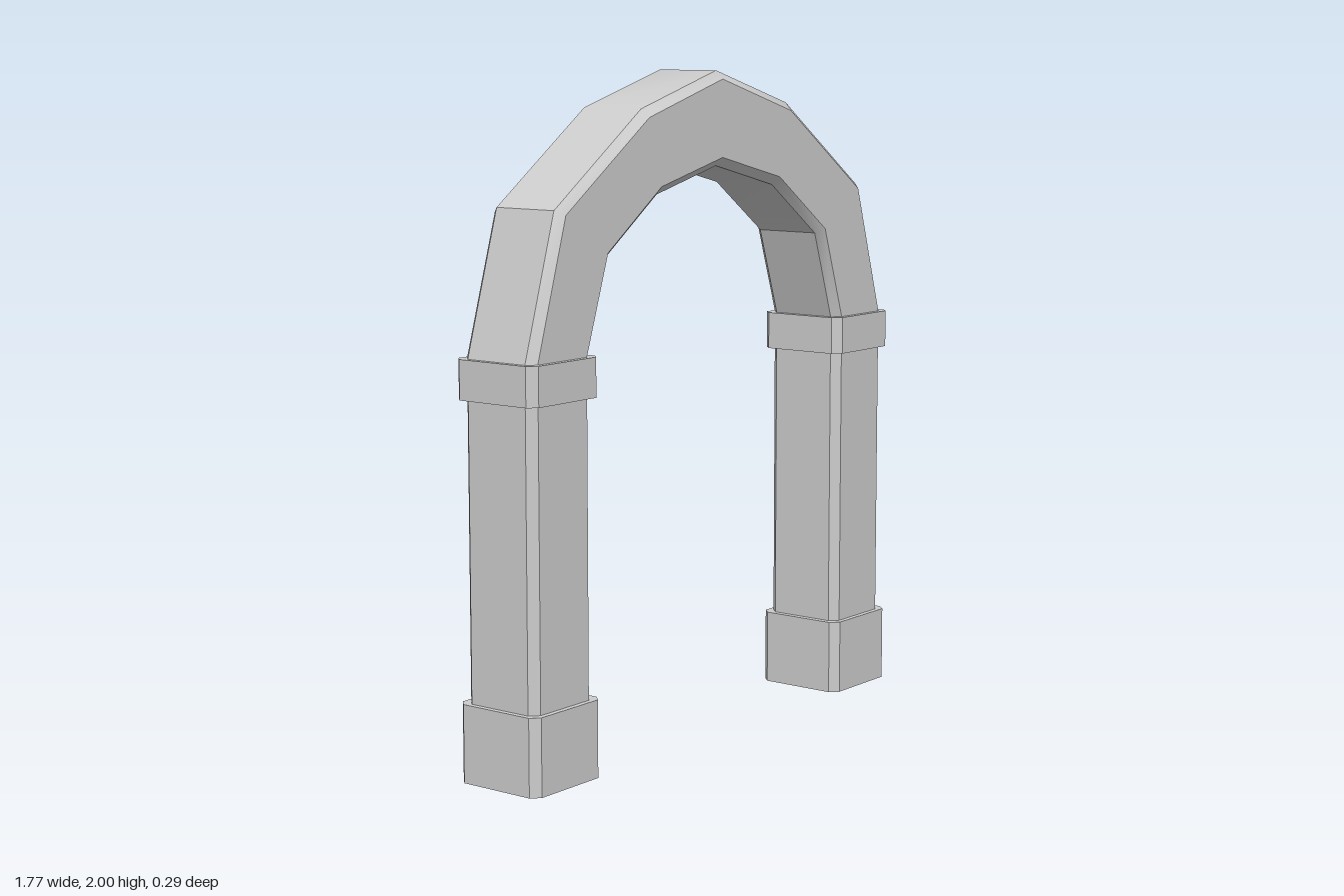
import * as THREE from 'three';
import { toCreasedNormals } from 'three/addons/utils/BufferGeometryUtils.js';

const stone = new THREE.MeshStandardMaterial({ color: 0xcccccc, side: THREE.DoubleSide });
const CHAMFER = 0.025;

// Chamfered rectangular section running from an outer to an inner point
function section(ox, oy, ix, iy, depth) {
  const o = new THREE.Vector3(ox, oy, 0), i = new THREE.Vector3(ix, iy, 0);
  const t = CHAMFER / o.distanceTo(i), d = depth - CHAMFER;
  return [[0, d], [0, -d], [t, -depth], [1 - t, -depth], [1, -d], [1, d], [1 - t, depth], [t, depth]]
    .map(([f, z]) => o.clone().lerp(i, f).setZ(z));
}

// Skin over successive sections, open at both ends
function loft(name, sections) {
  const pts = [];
  for (let s = 0; s < sections.length - 1; s++) {
    const p = sections[s], q = sections[s + 1];
    for (let k = 0; k < p.length; k++) {
      const n = (k + 1) % p.length;
      pts.push(p[k], p[n], q[n], p[k], q[n], q[k]);
    }
  }
  const geometry = new THREE.BufferGeometry().setFromPoints(pts);
  const mesh = new THREE.Mesh(toCreasedNormals(geometry, THREE.MathUtils.degToRad(35)), stone);
  mesh.name = name;
  return mesh;
}

const shaft = y => section(0.867, y, 0.607, y, 0.13);
const wide = y => section(0.884, y, 0.587, y, 0.147);

function createPillar(name) {
  const pillar = new THREE.Group();
  pillar.name = name;
  pillar.add(
    loft('base', [wide(0), wide(0.23), shaft(0.23)]),
    loft('column', [shaft(0.23), shaft(1.1)]),
    loft('capital', [shaft(1.1), wide(1.1), wide(1.215), shaft(1.215)])
  );
  return pillar;
}

export function createModel() {
  const model = new THREE.Group();
  model.name = 'archway';

  // Pillars
  const left = createPillar('leftPillar');
  const right = createPillar('rightPillar');
  right.rotation.y = Math.PI;
  model.add(left, right);

  // Arch: outer and inner points of one half, mirrored past the apex
  const half = [
    [0.867, 1.215, 0.607, 1.215],
    [0.74, 1.63, 0.515, 1.487],
    [0.355, 1.897, 0.284, 1.65],
    [0, 2, 0, 1.72]
  ];
  const mirrored = half.slice(0, -1).reverse().map(([a, b, c, d]) => [-a, b, -c, d]);
  model.add(loft('arch', [...half, ...mirrored].map(p => section(...p, 0.13))));
  return model;
}
